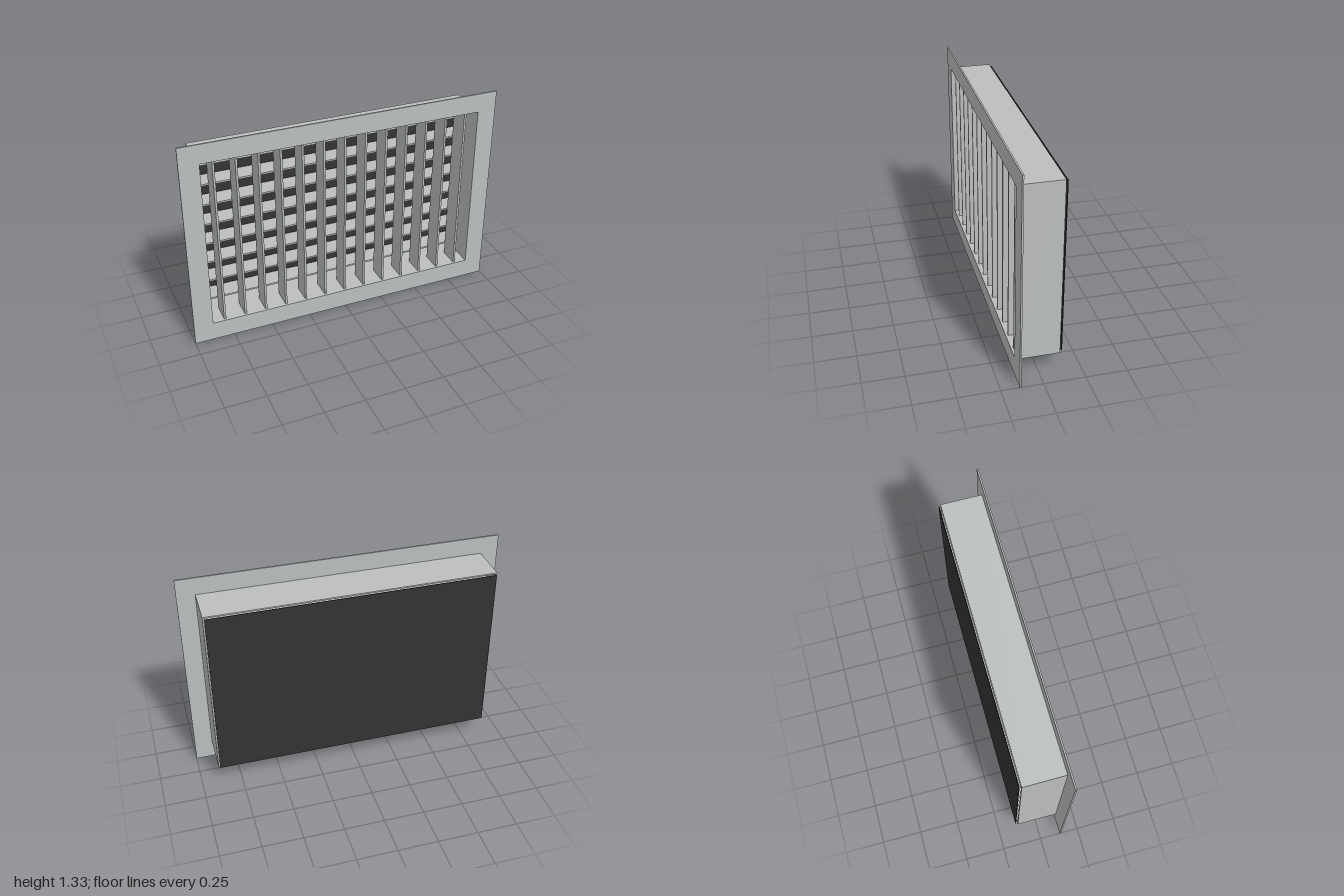
import * as THREE from 'three';

const CY = 0.667; // height of the grille centre

// Rectangular ring of outer half-size (ow, oh) and inner half-size (iw, ih), from z0 to z1
function ring(ow, oh, iw, ih, z0, z1) {
  const rect = (target, w, h) => {
    target.moveTo(-w, -h);
    target.lineTo(w, -h);
    target.lineTo(w, h);
    target.lineTo(-w, h);
    target.closePath();
    return target;
  };
  const shape = rect(new THREE.Shape(), ow, oh);
  shape.holes.push(rect(new THREE.Path(), iw, ih));
  const geometry = new THREE.ExtrudeGeometry(shape, { depth: z1 - z0, bevelEnabled: false });
  return geometry.translate(0, CY, z0);
}

export function createModel() {
  const model = new THREE.Group();
  model.name = 'ventGrille';

  const metal = new THREE.MeshStandardMaterial({ color: 0xbbbfbe });
  metal.name = 'light grey metal';
  const dark = new THREE.MeshStandardMaterial({ color: 0x333333 });
  dark.name = 'dark backing';

  const add = (name, geometry, material, x = 0, y = 0, z = 0, parent = model) => {
    const mesh = new THREE.Mesh(geometry, material);
    mesh.name = name;
    mesh.position.set(x, y, z);
    parent.add(mesh);
  };

  // Front flange and the sleeve behind it
  const W = 0.88, H = 0.547; // opening half-size
  add('frontFlange', ring(1, CY, W, H, 0.13, 0.14), metal);
  add('sleeve', ring(0.889, 0.556, W, H, -0.126, 0.13), metal);

  // Dark panel standing just clear of the sleeve
  add('backPanel', new THREE.BoxGeometry(2 * W, 2 * H, 0.005), dark, 0, CY, -0.1375);

  // Front row of upright blades
  const blades = new THREE.Group();
  blades.name = 'verticalBlades';
  model.add(blades);
  const bladeGeometry = new THREE.BoxGeometry(0.013, 2 * H, 0.125);
  for (let i = -6; i <= 6; i++) {
    add('verticalBlade', bladeGeometry, metal, i * 0.1333, CY, 0.0635, blades);
  }

  // Rear row of level blades
  const slats = new THREE.Group();
  slats.name = 'horizontalBlades';
  model.add(slats);
  const slatGeometry = new THREE.BoxGeometry(2 * W, 0.011, 0.122);
  for (let i = 0; i < 8; i++) {
    add('horizontalBlade', slatGeometry, metal, 0, 0.2 + i * 0.1333, -0.063, slats);
  }

  return model;
}
